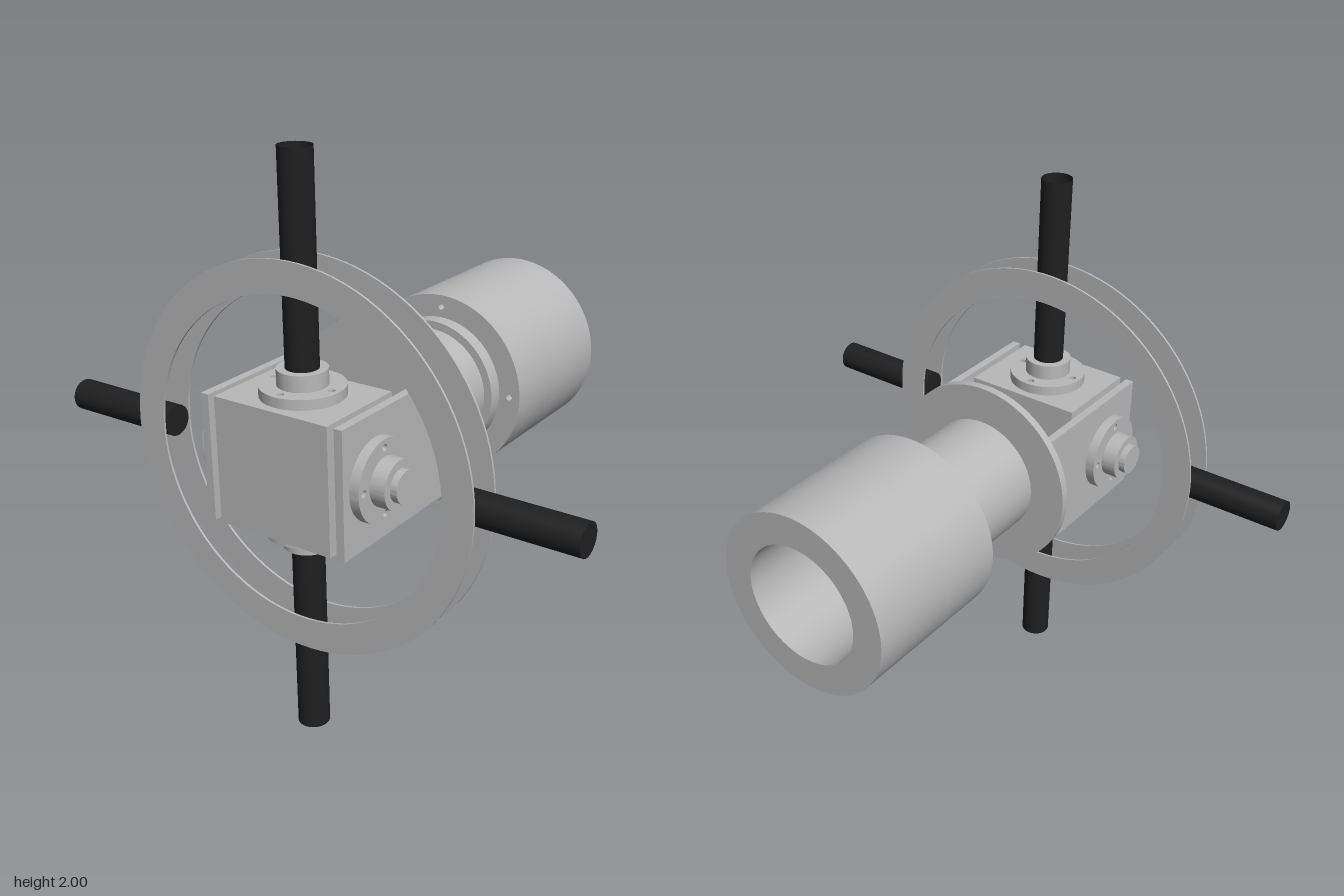
import * as THREE from 'three';
import { toCreasedNormals } from 'three/addons/utils/BufferGeometryUtils.js';

const AXIS_Y = 1.0;   // height of the main axis
const AXIS_Z = 0.61;  // depth of the crossing rods

export function createModel() {
  const model = new THREE.Group();
  model.name = 'gimbalMount';

  const metal = new THREE.MeshStandardMaterial({ color: 0xb8b8b8 });
  metal.name = 'greyMetal';
  const black = new THREE.MeshStandardMaterial({ color: 0x1f1f1f, side: THREE.DoubleSide });
  black.name = 'blackRod';

  const add = (parent, name, geometry, material, x = 0, y = 0, z = 0) => {
    const mesh = new THREE.Mesh(geometry, material);
    mesh.name = name;
    mesh.position.set(x, y, z);
    parent.add(mesh);
    return mesh;
  };

  const circleHole = (r, x = 0, y = 0) => new THREE.Path().absarc(x, y, r, 0, Math.PI * 2, true);

  const extrude = (shape, depth) => toCreasedNormals(
    new THREE.ExtrudeGeometry(shape, { depth, bevelEnabled: false, curveSegments: 48 }), 0.5);

  // Round plate along z with an optional bore and four bolt holes
  const disc = (r, bore, z0, z1, boltCircle = 0, boltR = 0.012) => {
    const shape = new THREE.Shape().absarc(0, 0, r, 0, Math.PI * 2, false);
    if (bore > 0) shape.holes.push(circleHole(bore));
    if (boltCircle > 0) {
      for (let i = 0; i < 4; i++) {
        const a = i * Math.PI / 2;
        shape.holes.push(circleHole(boltR, boltCircle * Math.cos(a), boltCircle * Math.sin(a)));
      }
    }
    return extrude(shape, z1 - z0).translate(0, 0, z0);
  };

  // Centre block, bored through from top to bottom
  const blockShape = new THREE.Shape([
    new THREE.Vector2(-0.22, -0.17), new THREE.Vector2(0.22, -0.17),
    new THREE.Vector2(0.22, 0.17), new THREE.Vector2(-0.22, 0.17),
  ]);
  blockShape.holes.push(circleHole(0.055));
  add(model, 'centreBlock', extrude(blockShape, 0.44).rotateX(-Math.PI / 2),
    metal, 0, AXIS_Y - 0.22, AXIS_Z);

  // Flanged bearing; its local z points away from the block
  const bearing = (name, start, rx, ry) => {
    const group = new THREE.Group();
    group.name = name;
    group.position.set(0, AXIS_Y, AXIS_Z);
    group.rotation.set(rx, ry, 0);
    add(group, 'bearingFlange', disc(0.14, 0.055, start, start + 0.035, 0.112), metal);
    add(group, 'bearingHub', disc(0.083, 0.055, start + 0.035, start + 0.09), metal);
    model.add(group);
    return group;
  };
  bearing('topBearing', 0.22, -Math.PI / 2, 0);
  bearing('bottomBearing', 0.22, Math.PI / 2, 0);

  // Upright hollow rod
  add(model, 'uprightRod', new THREE.CylinderGeometry(0.055, 0.055, 2, 40, 1, true),
    black, 0, AXIS_Y, AXIS_Z);

  for (const side of [1, -1]) {
    const label = side > 0 ? 'left' : 'right';
    // Side bearing with pivot pin
    const group = bearing(label + 'Bearing', 0.275, 0, side * Math.PI / 2);
    add(group, 'pivotPin', disc(0.055, 0, 0.22, 0.39), metal);
    // Fork arm
    add(model, label + 'ForkArm', new THREE.BoxGeometry(0.03, 0.44, 0.56),
      metal, side * 0.26, AXIS_Y, 0.5);
    // Horizontal rod
    add(model, label + 'Rod',
      new THREE.CylinderGeometry(0.055, 0.055, 0.445, 40).rotateZ(Math.PI / 2),
      black, side * 0.7775, AXIS_Y, AXIS_Z);
  }

  // Pair of thin ring plates clamping the rods
  for (const side of [1, -1]) {
    add(model, side > 0 ? 'frontRingPlate' : 'backRingPlate',
      disc(0.665, 0.555, -0.004, 0.004), metal, 0, AXIS_Y, AXIS_Z + side * 0.06);
  }

  // Fork flange, neck, collar and hollow socket
  const barrel = [
    ['forkFlange', disc(0.355, 0, 0.19, 0.22)],
    ['neckTube', disc(0.22, 0.17, -0.15, 0.19)],
    ['collar', disc(0.25, 0.17, -0.2, -0.145)],
    ['socketFront', disc(0.333, 0.17, -0.23, -0.2, 0.29)],
    ['socketSeat', disc(0.333, 0.17, -0.46, -0.23)],
    ['socketBarrel', disc(0.333, 0.22, -0.78, -0.46)],
  ];
  for (const [name, geometry] of barrel) add(model, name, geometry, metal, 0, AXIS_Y, 0);

  return model;
}
